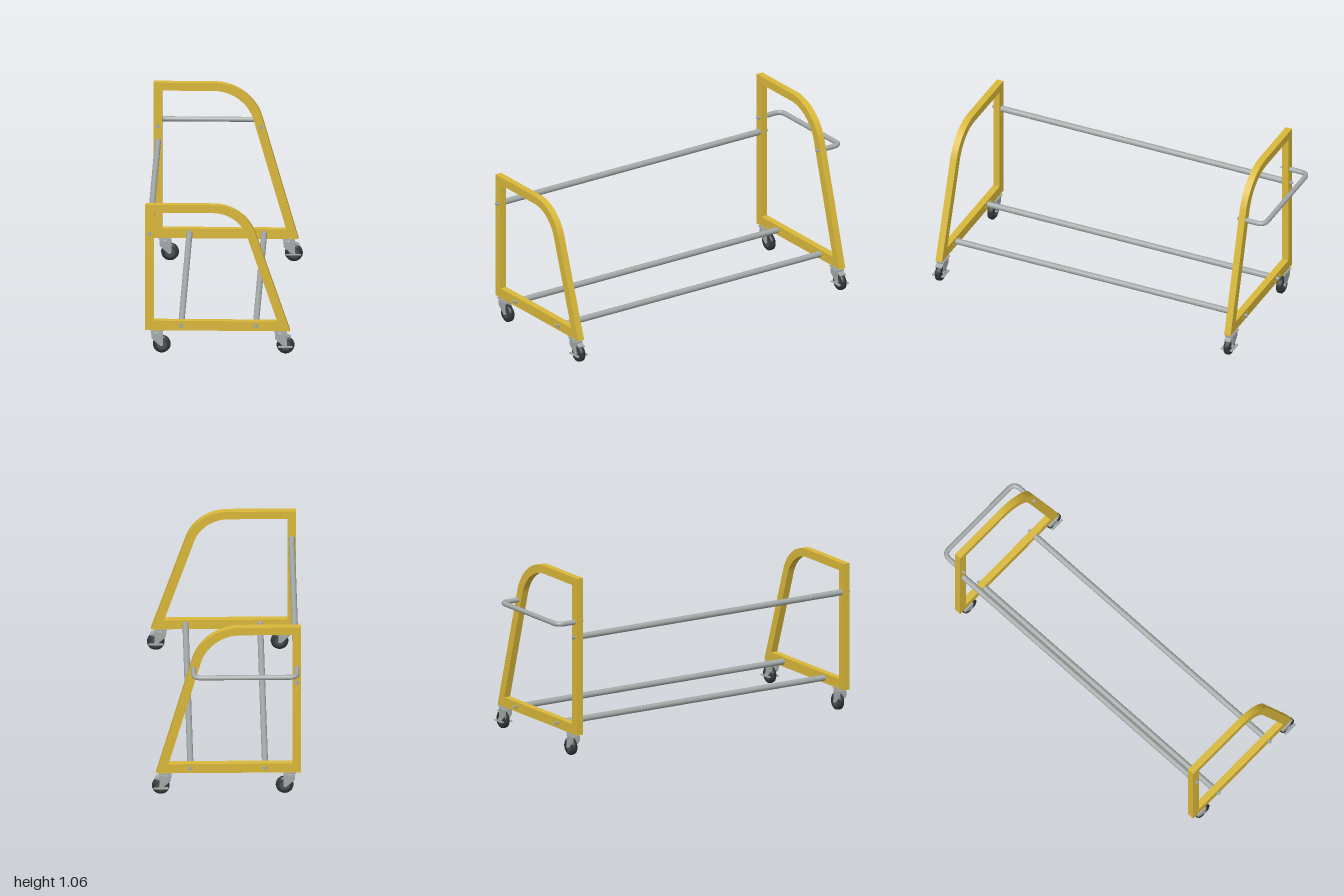
import * as THREE from 'three';
import { toCreasedNormals } from 'three/addons/utils/BufferGeometryUtils.js';

const mat = (color) => new THREE.MeshStandardMaterial({ color });
const yellow = mat(0xd9b83a), steel = mat(0xa3a9a8), rubber = mat(0x2f3636), hubDark = mat(0x465050);

const FRONT_Z = 0.962, BACK_Z = -0.853, HALF = 0.02;
const RODS = [[-0.4, 0.71], [-0.22, 0.166], [0.205, 0.166]];
const HANDLE_Y = 0.8, HANDLE_X = [-0.4, 0.188];

function add(parent, name, geometry, material, x = 0, y = 0, z = 0) {
  const mesh = new THREE.Mesh(geometry, material);
  mesh.name = name;
  mesh.position.set(x, y, z);
  parent.add(mesh);
  return mesh;
}

// Cylinder lying along z
function zCylinder(radius, length, sides = 24) {
  return new THREE.CylinderGeometry(radius, radius, length, sides).rotateX(Math.PI / 2);
}

// Plate of given thickness, centred on z = 0
function plate(shape, depth) {
  const g = new THREE.ExtrudeGeometry(shape, { depth, bevelEnabled: false, curveSegments: 28 });
  return toCreasedNormals(g.translate(0, 0, -depth / 2), 0.5);
}

// Closed outline: upright left side, flat top, rounded shoulder, sloping right side
function outline(path, left, bottom, right, top, slope, radius) {
  const angle = Math.atan(slope);
  const t = radius * Math.tan((Math.PI / 2 - angle) / 2);
  const cornerX = right - slope * (top - bottom);
  path.moveTo(left, bottom);
  path.lineTo(right, bottom);
  path.lineTo(cornerX + t * Math.sin(angle), top - t * Math.cos(angle));
  path.absarc(cornerX - t, top - radius, radius, angle, Math.PI / 2, false);
  path.lineTo(left, top);
  path.closePath();
  return path;
}

function endFrame(top, slope, radius) {
  const shape = outline(new THREE.Shape(), -0.425, 0.136, 0.4, top, slope, radius);
  const innerRight = 0.4 - slope * 0.057 - 0.053;
  shape.holes.push(outline(new THREE.Path(), -0.376, 0.193, innerRight, top - 0.047, slope, radius - 0.047));
  // Small drilled holes beside the rod bolts
  const drilled = [[-0.4, 0.667]];
  for (const [x, y] of RODS.slice(1)) drilled.push([x - 0.037, y], [x + 0.037, y]);
  for (const [x, y] of drilled) {
    shape.holes.push(new THREE.Path().absarc(x, y, 0.0055, 0, Math.PI * 2, true));
  }
  return plate(shape, HALF * 2);
}

// Washer, hex head and stud tip, projecting along dir in z
function bolt(parent, x, y, z, dir) {
  const group = new THREE.Group();
  group.name = 'bolt';
  group.position.set(x, y, z);
  add(group, 'washer', zCylinder(0.012, 0.003), steel, 0, 0, dir * 0.0015);
  add(group, 'hexNut', zCylinder(0.0105, 0.009, 6), steel, 0, 0, dir * 0.007);
  add(group, 'studTip', zCylinder(0.006, 0.006, 16), steel, 0, 0, dir * 0.014);
  parent.add(group);
}

function caster(x, z, braked) {
  const group = new THREE.Group();
  group.name = braked ? 'brakedCaster' : 'caster';
  group.position.set(x, 0, z);
  add(group, 'mountingPlate', new THREE.BoxGeometry(0.07, 0.006, 0.06), steel, 0, 0.133);
  add(group, 'swivel', new THREE.CylinderGeometry(0.024, 0.028, 0.012, 24), steel, 0, 0.125);
  add(group, 'forkCrown', new THREE.BoxGeometry(0.066, 0.008, 0.046), steel, 0.002, 0.118);

  // Fork cheeks on both sides of the wheel
  const cheek = new THREE.Shape();
  cheek.moveTo(-0.031, 0.122);
  cheek.lineTo(-0.029, 0.09);
  cheek.lineTo(0.018, 0.046);
  cheek.quadraticCurveTo(0.028, 0.04, 0.037, 0.048);
  cheek.lineTo(0.036, 0.122);
  cheek.closePath();
  for (const s of [-1, 1]) add(group, 'forkCheek', plate(cheek, 0.004), steel, 0, 0, s * 0.021);

  // Wheel with rounded tread
  const profile = [[0.03, -0.017], [0.043, -0.017], [0.049, -0.012], [0.051, 0],
    [0.049, 0.012], [0.043, 0.017], [0.03, 0.017], [0.03, -0.017]].map(([r, h]) => new THREE.Vector2(r, h));
  const tyre = toCreasedNormals(new THREE.LatheGeometry(profile, 36).rotateX(Math.PI / 2), 0.8);
  add(group, 'tyre', tyre, rubber, 0.029, 0.051);
  add(group, 'wheelHub', zCylinder(0.031, 0.028), hubDark, 0.029, 0.051);
  add(group, 'axle', zCylinder(0.006, 0.054, 12), steel, 0.029, 0.051);

  // Foot brake: side bars, pedal and its arm
  if (braked) {
    for (const s of [-1, 1]) {
      add(group, 'brakeBar', new THREE.BoxGeometry(0.084, 0.006, 0.014), steel, 0.028, 0.045, s * 0.029);
      add(group, 'brakeCam', zCylinder(0.01, 0.006, 16), steel, 0.029, 0.053, s * 0.026);
    }
    const pedal = add(group, 'brakePedal', new THREE.BoxGeometry(0.03, 0.006, 0.04), steel, 0.047, 0.103);
    pedal.rotation.z = -0.4;
  }
  return group;
}

export function createModel() {
  const model = new THREE.Group();
  model.name = 'rackTrolley';

  add(model, 'frontFrame', endFrame(0.882, 0.342, 0.252), yellow, 0, 0, FRONT_Z);
  add(model, 'backFrame', endFrame(1.06, 0.286, 0.285), yellow, 0, 0, BACK_Z);

  // Long rods bolted through both end frames
  const inner = FRONT_Z - BACK_Z - 2 * HALF;
  for (const [x, y] of RODS) {
    add(model, 'longRod', zCylinder(0.0175, inner), steel, x, y, (FRONT_Z + BACK_Z) / 2);
    bolt(model, x, y, FRONT_Z + HALF, 1);
    bolt(model, x, y, BACK_Z - HALF, -1);
  }

  // Push handle: bent tube behind the back frame
  const [x0, x1] = HANDLE_X, zIn = BACK_Z - HALF + 0.002, zOut = -0.985, r = 0.045;
  const v = (x, z) => new THREE.Vector3(x, HANDLE_Y, z);
  const path = new THREE.CurvePath();
  path.add(new THREE.LineCurve3(v(x0, zIn), v(x0, zOut + r)));
  path.add(new THREE.QuadraticBezierCurve3(v(x0, zOut + r), v(x0, zOut), v(x0 + r, zOut)));
  path.add(new THREE.LineCurve3(v(x0 + r, zOut), v(x1 - r, zOut)));
  path.add(new THREE.QuadraticBezierCurve3(v(x1 - r, zOut), v(x1, zOut), v(x1, zOut + r)));
  path.add(new THREE.LineCurve3(v(x1, zOut + r), v(x1, zIn)));
  add(model, 'pushHandle', new THREE.TubeGeometry(path, 100, 0.0145, 18), steel);
  for (const x of HANDLE_X) bolt(model, x, HANDLE_Y, BACK_Z + HALF, 1);

  // Four swivel casters, brakes on the sloping side
  for (const z of [FRONT_Z, BACK_Z]) {
    model.add(caster(-0.36, z, false));
    model.add(caster(0.345, z, true));
  }
  return model;
}
